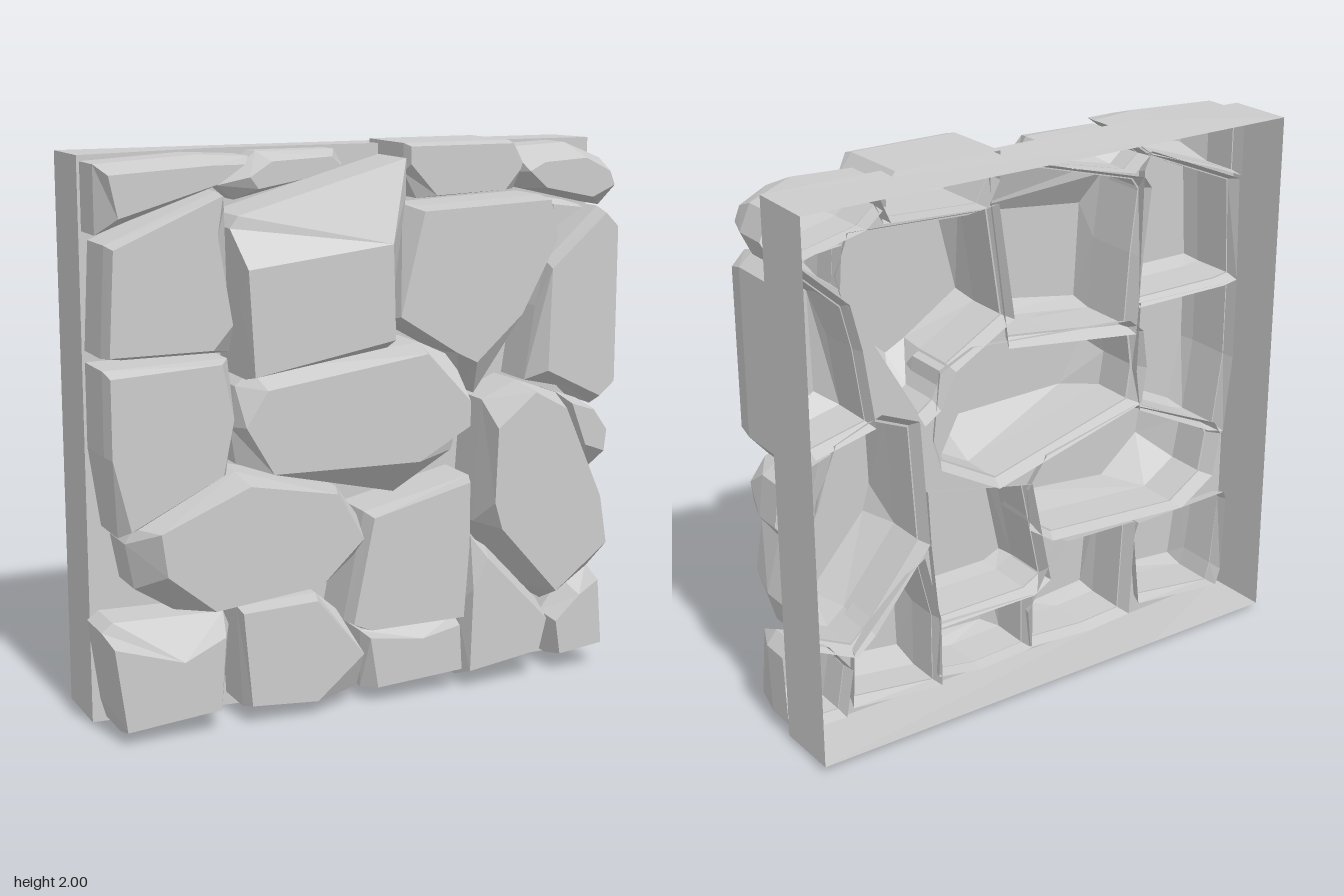
import * as THREE from 'three';

const material = new THREE.MeshStandardMaterial({ color: 0xcccccc, flatShading: true, side: THREE.DoubleSide });
const WALL_Z = -0.03, BACK_Z = -0.28, SKIRT_Z = -0.08;

// [x, y, x, y, ...] to counter-clockwise points
function toPoints(flat) {
  const pts = [];
  for (let i = 0; i < flat.length; i += 2) pts.push(new THREE.Vector2(flat[i], flat[i + 1]));
  return THREE.ShapeUtils.area(pts) < 0 ? pts.reverse() : pts;
}

const centre = (pts) => pts.reduce((c, p) => c.add(p), new THREE.Vector2()).divideScalar(pts.length);

// Scales an outline about its centre, kept inside the frame
function scaled(pts, s) {
  const c = centre(pts);
  return pts.map((p) => {
    const q = p.clone().sub(c).multiplyScalar(s).add(c);
    return q.set(THREE.MathUtils.clamp(q.x, -0.975, 0.975), THREE.MathUtils.clamp(q.y, 0.025, 1.975));
  });
}

// Joins two outlines with matching points
function strip(out, a, za, b, zb) {
  a.forEach((p, i) => {
    const k = (i + 1) % a.length, n = a[k], q = b[i], m = b[k];
    out.push(p.x, p.y, za, n.x, n.y, za, q.x, q.y, zb, n.x, n.y, za, m.x, m.y, zb, q.x, q.y, zb);
  });
}

// Joins two outlines that differ in point count, walking both by angle
function band(out, a, za, b, zb) {
  const c = centre(b);
  const sorted = (pts) => pts
    .map((p) => ({ p, t: Math.atan2(p.y - c.y, p.x - c.x) }))
    .sort((e, f) => e.t - f.t);
  const A = sorted(a), B = sorted(b);
  const at = (L, i) => L[i % L.length].p;
  const angle = (L, i) => L[i % L.length].t + (i >= L.length ? Math.PI * 2 : 0);
  let i = 0, j = 0;
  while (i < A.length || j < B.length) {
    const p = at(A, i), q = at(B, j);
    const stepA = j >= B.length || (i < A.length && angle(A, i + 1) <= angle(B, j + 1));
    const n = stepA ? at(A, ++i) : at(B, ++j);
    out.push(p.x, p.y, za, n.x, n.y, stepA ? za : zb, q.x, q.y, zb);
  }
}

function meshFrom(name, positions) {
  const g = new THREE.BufferGeometry();
  g.setAttribute('position', new THREE.Float32BufferAttribute(positions, 3));
  g.computeVertexNormals();
  const mesh = new THREE.Mesh(g, material);
  mesh.name = name;
  return mesh;
}

export function createModel() {
  const model = new THREE.Group();
  const stones = new THREE.Group();
  stones.name = 'stones';
  model.add(stones);
  const holes = [];

  // Hollow stone: flared skirt behind, upright sides to the shoulder, a bevel, then a flat face
  function stone(name, shoulder, faceZ, outlineFlat, faceFlat, rootZ = WALL_Z) {
    const outline = toPoints(outlineFlat), face = toPoints(faceFlat), out = [];
    strip(out, scaled(outline, 1.07), SKIRT_Z, scaled(outline, 1), WALL_Z);
    strip(out, outline, rootZ, outline, shoulder);
    band(out, outline, shoulder, face, faceZ);
    for (const tri of THREE.ShapeUtils.triangulateShape(face, []))
      for (const k of tri) out.push(face[k].x, face[k].y, faceZ);
    stones.add(meshFrom(name, out));
    holes.push(new THREE.Path(scaled(outline, 0.98)));
  }

  // Top course
  stone('topLeftStone', 0.11, 0.21,
    [-0.97, 1.73, -0.97, 1.96, -0.62, 1.98, -0.43, 1.97, -0.56, 1.87, -0.86, 1.77],
    [-0.92, 1.79, -0.95, 1.93, -0.6, 1.95, -0.48, 1.95, -0.57, 1.89]);
  stone('topSmallStone', 0.05, 0.13,
    [-0.52, 1.87, -0.38, 1.98, -0.09, 1.98, -0.06, 1.93, -0.2, 1.88, -0.46, 1.82],
    [-0.43, 1.9, -0.35, 1.95, -0.13, 1.96, -0.1, 1.93, -0.22, 1.89, -0.4, 1.86]);
  stone('topMiddleStone', 0.17, 0.21,
    [0.12, 2, 0.53, 2, 0.59, 1.92, 0.55, 1.83, 0.17, 1.81, 0.12, 1.9],
    [0.13, 1.99, 0.53, 1.99, 0.56, 1.9, 0.5, 1.83, 0.23, 1.82, 0.13, 1.93], -0.1);
  stone('topRightStone', 0.1, 0.21,
    [0.57, 1.97, 0.8, 1.98, 0.95, 1.92, 0.99, 1.83, 0.95, 1.75, 0.64, 1.82, 0.57, 1.88],
    [0.6, 1.89, 0.66, 1.92, 0.83, 1.93, 0.93, 1.88, 0.95, 1.83, 0.86, 1.79, 0.67, 1.83]);

  // Upper course
  stone('upperLeftStone', 0.14, 0.21,
    [-0.97, 1.33, -0.95, 1.7, -0.56, 1.86, -0.53, 1.8, -0.52, 1.32, -0.9, 1.32],
    [-0.96, 1.34, -0.94, 1.69, -0.56, 1.85, -0.58, 1.72, -0.53, 1.42, -0.6, 1.34]);
  stone('upperBigStone', 0.19, 0.28,
    [-0.53, 1.74, -0.5, 1.78, 0.12, 1.95, 0.12, 1.83, 0.05, 1.3, -0.48, 1.23, -0.5, 1.5],
    [-0.5, 1.61, 0.03, 1.67, 0.04, 1.34, -0.48, 1.25]);
  stone('upperMiddleStone', 0.14, 0.24,
    [0.07, 1.39, 0.13, 1.79, 0.2, 1.78, 0.68, 1.8, 0.73, 1.67, 0.71, 1.6, 0.42, 1.1, 0.36, 1.14, 0.3, 1.26],
    [0.08, 1.41, 0.17, 1.77, 0.67, 1.79, 0.7, 1.65, 0.56, 1.39, 0.38, 1.23, 0.3, 1.27]);
  stone('upperFillerStone', 0.06, 0.12,
    [0.74, 1.64, 0.73, 1.78, 0.82, 1.77, 0.89, 1.75], [0.75, 1.67, 0.75, 1.76, 0.87, 1.745]);
  stone('upperRightStone', 0.14, 0.21,
    [0.63, 1.13, 0.67, 1.4, 0.71, 1.56, 0.92, 1.75, 0.98, 1.7, 0.98, 1.1, 0.91, 1.02, 0.85, 1.08],
    [0.69, 1.17, 0.7, 1.54, 0.92, 1.73, 0.97, 1.68, 0.97, 1.11, 0.91, 1.06]);

  // Middle course
  stone('middleLeftStone', 0.15, 0.21,
    [-0.97, 1.29, -0.53, 1.3, -0.52, 1.05, -0.54, 0.9, -0.86, 0.74, -0.93, 0.72, -0.97, 1.0],
    [-0.96, 1.27, -0.57, 1.29, -0.53, 1.1, -0.57, 0.91, -0.9, 0.75, -0.96, 1.0]);
  stone('middleLongStone', 0.14, 0.27,
    [-0.52, 1.06, -0.5, 1.2, -0.44, 1.25, 0.2, 1.3, 0.33, 1.24, 0.36, 1.0, 0.33, 0.9, 0.1, 0.77, -0.5, 0.93],
    [-0.51, 1.08, -0.43, 1.2, 0.17, 1.28, 0.34, 1.1, 0.34, 1.01, 0.14, 0.9, -0.41, 0.91]);
  stone('middleRoundStone', 0.13, 0.28,
    [-0.9, 0.69, -0.87, 0.74, -0.5, 0.9, -0.12, 0.81, -0.04, 0.7, -0.05, 0.55, -0.15, 0.48, -0.73, 0.44, -0.87, 0.53],
    [-0.82, 0.75, -0.5, 0.88, -0.18, 0.82, -0.08, 0.65, -0.24, 0.5, -0.63, 0.46, -0.8, 0.6]);
  stone('middleTallStone', 0.13, 0.28,
    [0.43, 0.62, 0.46, 1.07, 0.6, 1.13, 0.77, 1.07, 0.84, 0.9, 0.95, 0.5, 0.92, 0.39, 0.72, 0.29, 0.65, 0.35],
    [0.44, 0.72, 0.45, 0.99, 0.6, 1.11, 0.73, 1.04, 0.88, 0.7, 0.91, 0.52, 0.7, 0.36, 0.47, 0.62]);
  stone('middleEndStone', 0.08, 0.17,
    [0.8, 1.06, 0.89, 1.03, 0.97, 0.98, 0.99, 0.83, 0.93, 0.75, 0.86, 0.87],
    [0.82, 1.03, 0.91, 1.0, 0.97, 0.92, 0.96, 0.84, 0.88, 0.87]);

  // Lower course
  stone('lowerMiddleStone', 0.15, 0.22,
    [-0.1, 0.32, -0.02, 0.71, 0.4, 0.8, 0.39, 0.6, 0.36, 0.28, -0.03, 0.28],
    [-0.09, 0.32, -0.01, 0.7, 0.37, 0.79, 0.37, 0.56, 0.35, 0.29, -0.02, 0.29]);
  stone('bottomMiddleStone', 0.12, 0.19,
    [-0.02, 0.26, 0.36, 0.27, 0.37, 0.07, 0.2, 0.04, -0.02, 0.05],
    [-0.01, 0.25, 0.2, 0.22, 0.35, 0.25, 0.36, 0.08, 0.02, 0.06]);
  stone('bottomLeftStone', 0.13, 0.21,
    [-0.99, 0.39, -0.95, 0.42, -0.55, 0.41, -0.53, 0.36, -0.56, 0.08, -0.93, 0.03, -0.95, 0.1],
    [-0.97, 0.35, -0.72, 0.27, -0.57, 0.34, -0.59, 0.08, -0.93, 0.05]);
  stone('bottomSecondStone', 0.13, 0.2,
    [-0.5, 0.42, -0.2, 0.43, -0.12, 0.36, -0.03, 0.2, -0.04, 0.06, -0.3, 0.04, -0.48, 0.05],
    [-0.5, 0.41, -0.22, 0.42, -0.04, 0.2, -0.22, 0.05, -0.47, 0.07]);
  stone('bottomFourthStone', 0.1, 0.2,
    [0.44, 0.55, 0.5, 0.51, 0.72, 0.28, 0.73, 0.08, 0.38, 0.03, 0.38, 0.3],
    [0.4, 0.38, 0.46, 0.49, 0.71, 0.23, 0.68, 0.11, 0.39, 0.07]);
  stone('bottomRightStone', 0.08, 0.17,
    [0.75, 0.22, 0.84, 0.34, 0.95, 0.38, 0.99, 0.33, 0.98, 0.06, 0.78, 0.05],
    [0.77, 0.2, 0.87, 0.29, 0.95, 0.34, 0.97, 0.09, 0.79, 0.07]);

  // Mortar sheet between the stones, open behind each one
  const back = toPoints([-0.98, 0.02, -0.45, 0.02, 0.98, 0.02, 0.98, 1.98, -0.5, 1.98, -0.98, 1.98]);
  const front = toPoints([-0.98, 0.015, -0.45, 0, 0.98, 0.015, 0.98, 1.985, -0.5, 1.99, -0.98, 1.98]);
  const sheet = new THREE.Shape(front);
  sheet.holes = holes;
  const mortar = new THREE.Mesh(new THREE.ShapeGeometry(sheet), material);
  mortar.name = 'mortar';
  mortar.position.z = WALL_Z;
  model.add(mortar);

  // Thin frame around the open back
  const sides = [];
  strip(sides, back, BACK_Z, front, WALL_Z);
  model.add(meshFrom('frame', sides));

  return model;
}
